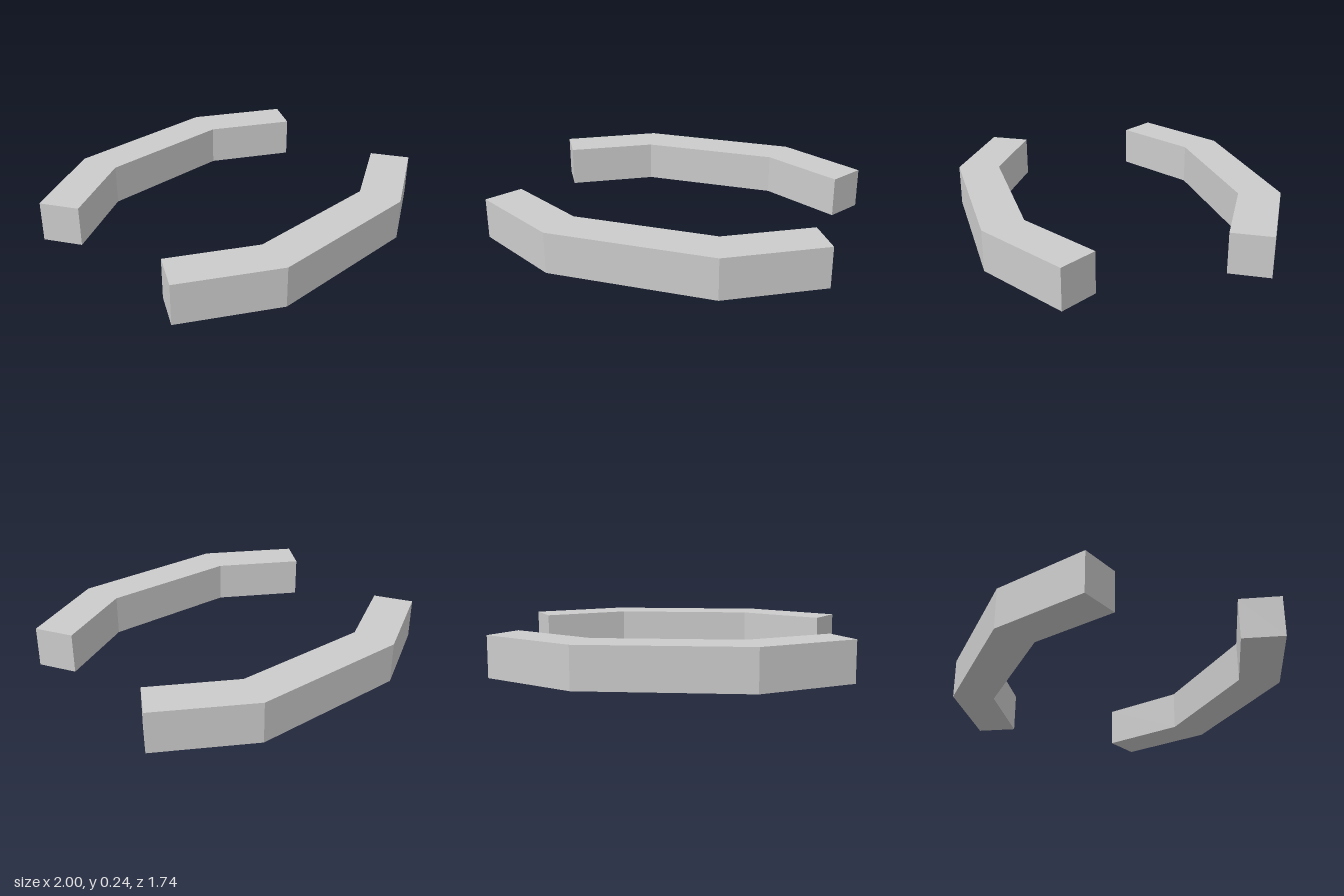
import * as THREE from 'three';

const HEIGHT = 0.24;

export function createModel() {
  const model = new THREE.Group();
  model.name = 'curvedBarrierPair';
  const material = new THREE.MeshStandardMaterial({ color: 0xcccccc, flatShading: true });

  // Plan of one three-segment wall: right half outline, mirrored to the left
  const half = [[0.48, 0.868], [1, 0.567], [0.88, 0.361], [0.416, 0.628]];
  const mirrored = half.map(([x, z]) => [-x, z]).reverse();
  const plan = new THREE.Shape([...half, ...mirrored].map(([x, z]) => new THREE.Vector2(x, z)));

  // Raise the plan into a solid standing on the ground
  const geometry = new THREE.ExtrudeGeometry(plan, { depth: HEIGHT, bevelEnabled: false });
  geometry.rotateX(Math.PI / 2).translate(0, HEIGHT, 0);

  // Two identical walls facing each other
  ['frontWall', 'backWall'].forEach((name, i) => {
    const wall = new THREE.Mesh(geometry, material);
    wall.name = name;
    wall.rotation.y = i * Math.PI;
    model.add(wall);
  });
  return model;
}
